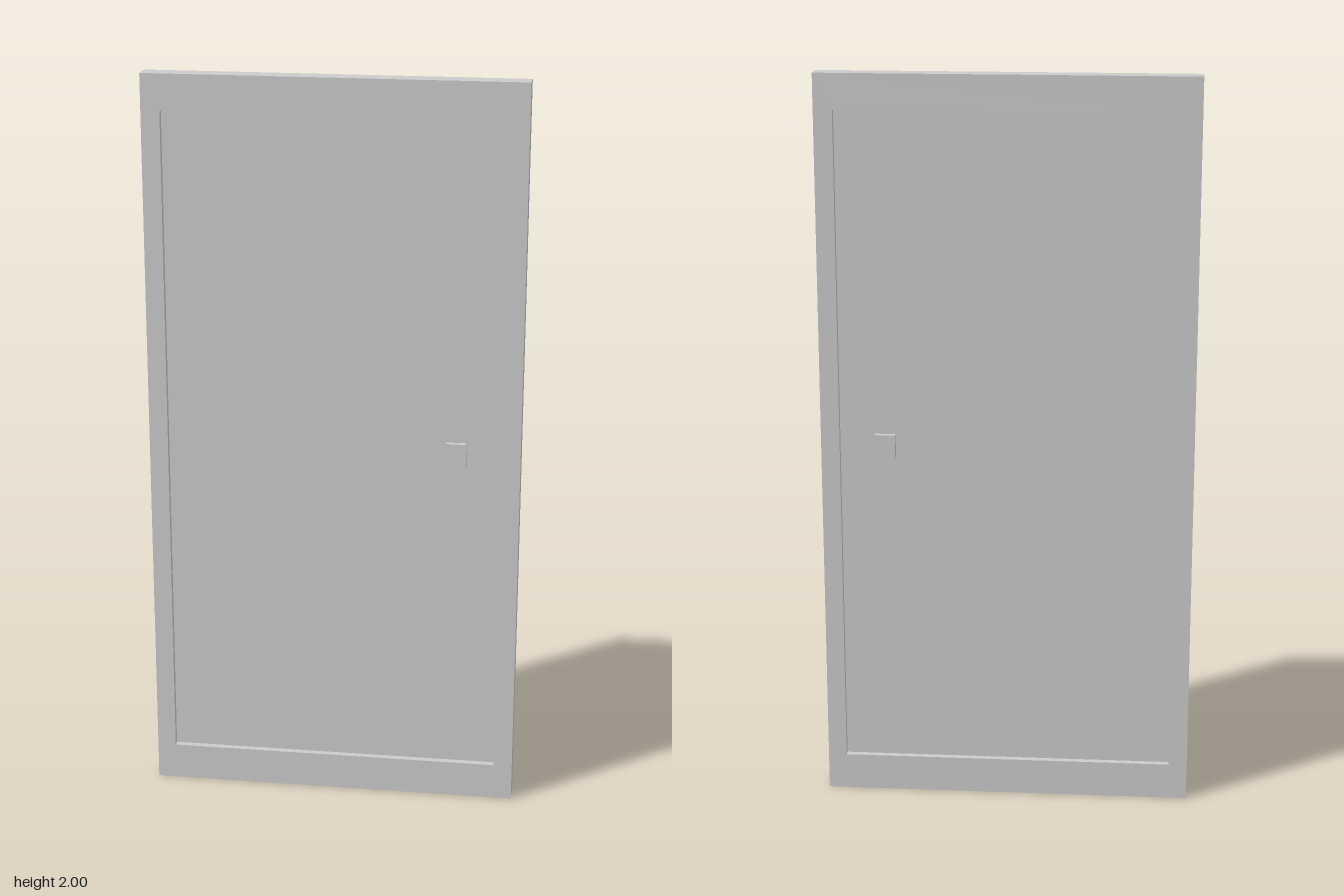
import * as THREE from 'three';

export function createModel() {
  const group = new THREE.Group();
  const material = new THREE.MeshStandardMaterial({ color: 0xcccccc, flatShading: true });
  const depth = 0.053;

  const add = (name, geometry, x, y, z) => {
    const mesh = new THREE.Mesh(geometry, material);
    mesh.name = name;
    mesh.position.set(x, y, z);
    group.add(mesh);
  };
  const rectangle = (PathType, x0, y0, x1, y1) => new PathType([
    new THREE.Vector2(x0, y0), new THREE.Vector2(x1, y0),
    new THREE.Vector2(x1, y1), new THREE.Vector2(x0, y1),
  ]);

  // Raised border with a rectangular opening
  const border = rectangle(THREE.Shape, -0.5, 0, 0.5, 2);
  border.holes.push(rectangle(THREE.Path, -0.45, 0.1, 0.45, 1.905));
  add('doorFrame', new THREE.ExtrudeGeometry(border, { depth, bevelEnabled: false }), 0, 0, -depth / 2);

  // Recessed panel, the same on both faces
  add('doorPanel', new THREE.BoxGeometry(0.9, 1.805, 0.018), 0, 1.0025, 0);

  // Small block handles on the front and back
  for (const [name, side] of [['frontHandle', 1], ['backHandle', -1]]) {
    add(name, new THREE.BoxGeometry(0.055, 0.068, 0.014), 0.328, 1.001, side * 0.016);
  }

  return group;
}
